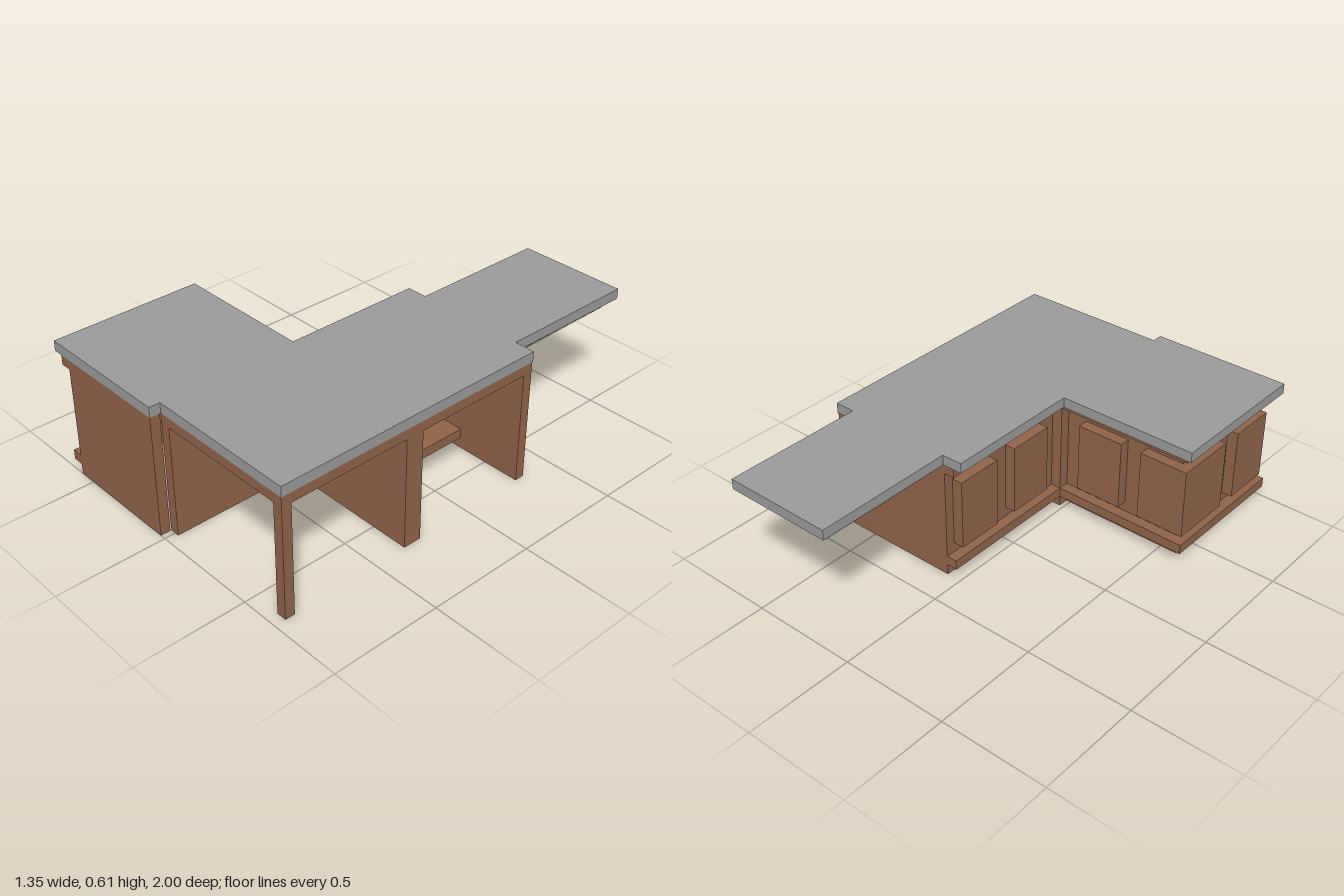
import * as THREE from 'three';

export function createModel() {
  const model = new THREE.Group();
  const wood = new THREE.MeshStandardMaterial({ color: 0x8f6248 });
  wood.name = 'brown wood';
  const stone = new THREE.MeshStandardMaterial({ color: 0x999999 });
  stone.name = 'grey worktop';

  // Box given by its limits on each axis
  function slab(parent, name, mat, [x0, x1], [y0, y1], [z0, z1]) {
    const mesh = new THREE.Mesh(new THREE.BoxGeometry(x1 - x0, y1 - y0, z1 - z0), mat);
    mesh.position.set((x0 + x1) / 2, (y0 + y1) / 2, (z0 + z1) / 2);
    mesh.name = name;
    parent.add(mesh);
  }
  function group(name) {
    const g = new THREE.Group();
    g.name = name;
    model.add(g);
    return g;
  }

  const T = 0.56;                 // underside of the worktop
  const full = [0, T];
  const rail = [0.515, T];        // top rails
  const base = [0.05, 0.095];     // base rails
  const door = [0.14, 0.465];

  // Worktop in three sections
  const top = group('worktop');
  const thick = [T, 0.607];
  slab(top, 'sideWorktop', stone, [-0.675, -0.025], thick, [0.30, 1.0]);
  slab(top, 'mainWorktop', stone, [-0.025, 0.675], thick, [-0.35, 0.95]);
  slab(top, 'barWorktop', stone, [0.07, 0.58], thick, [-1.0, -0.35]);

  // Carcass walls
  const walls = group('cabinetWalls');
  slab(walls, 'frontWall', wood, [-0.58, -0.025], full, [0.955, 1.0]);
  slab(walls, 'kneeSpaceWall', wood, [-0.025, 0.02], full, [0.44, 0.95]);
  slab(walls, 'sideEndWall', wood, [-0.58, -0.535], full, [0.44, 0.955]);
  slab(walls, 'sideBackWall', wood, [-0.58, 0.07], full, [0.395, 0.44]);
  slab(walls, 'mainInnerWall', wood, [0.07, 0.112], full, [-0.30, 0.44]);
  slab(walls, 'innerCornerPost', wood, [0.02, 0.07], full, [0.345, 0.395]);
  slab(walls, 'dividerWall', wood, [0.112, 0.675], full, [0.26, 0.345]);
  slab(walls, 'backWall', wood, [0.07, 0.675], full, [-0.345, -0.30]);

  // Low shelf between divider and back wall
  slab(model, 'shelf', wood, [0.112, 0.355], base, [-0.30, 0.26]);

  // Base and top rails along the inner corner and the side end
  const trim = group('rails');
  for (const [label, y] of [['base', base], ['top', rail]]) {
    slab(trim, label + 'MainRail', wood, [0.02, 0.07], y, [-0.345, 0.345]);
    slab(trim, label + 'SideRail', wood, [-0.63, 0.02], y, [0.345, 0.395]);
    slab(trim, label + 'EndRail', wood, [-0.63, -0.58], y, [0.395, 1.0]);
  }

  // Raised doors
  const doors = group('doors');
  for (const z of [[-0.30, -0.08], [0.03, 0.25]])
    slab(doors, 'mainDoor', wood, [0.02, 0.07], door, z);
  for (const x of [[-0.30, -0.077], [-0.63, -0.40]])
    slab(doors, 'sideDoor', wood, x, door, [0.345, 0.395]);
  for (const z of [[0.395, 0.64], [0.73, 0.957]])
    slab(doors, 'endDoor', wood, [-0.63, -0.58], door, z);

  // Leg and frame under the main worktop
  const frame = group('mainFrame');
  slab(frame, 'leg', wood, [0.63, 0.675], [0, 0.515], [0.905, 0.95]);
  slab(frame, 'frontRail', wood, [0.02, 0.675], rail, [0.905, 0.95]);
  for (const z of [[0.345, 0.905], [-0.30, 0.26]]) {
    slab(frame, 'outerRail', wood, [0.63, 0.675], rail, z);
    slab(frame, 'middleRail', wood, [0.35, 0.395], rail, z);
  }

  // Frame under the overhanging bar
  const bar = group('barFrame');
  for (const x of [0.115, 0.3025, 0.49])
    slab(bar, 'lengthRail', wood, [x, x + 0.045], rail, [-0.91, -0.345]);
  slab(bar, 'endRail', wood, [0.115, 0.535], rail, [-0.955, -0.91]);
  slab(bar, 'innerRail', wood, [0.16, 0.49], rail, [-0.39, -0.345]);

  return model;
}
